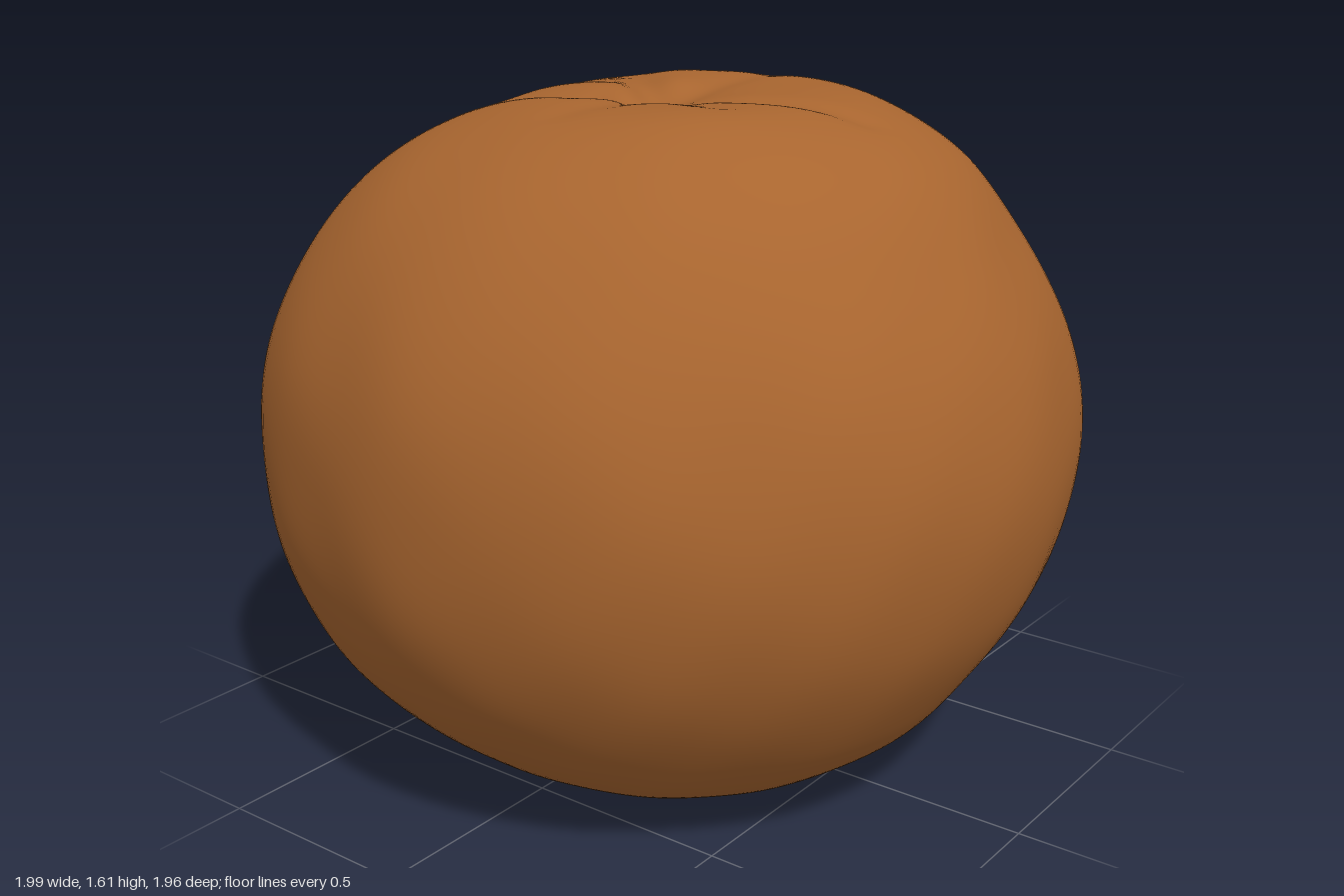
import * as THREE from 'three';

const CENTRE_Y = 0.8;

// Distance from the centre, from crown to base every 15 degrees of elevation.
// One row per 45 degrees of heading, turning from +x towards +z.
const PROFILES = [
  [0.775, 0.827, 0.904, 0.957, 0.965, 0.988, 0.995, 0.982, 0.958, 0.942, 0.9, 0.82, 0.765],
  [0.775, 0.828, 0.91, 0.953, 0.968, 0.982, 0.99, 0.982, 0.962, 0.942, 0.9, 0.82, 0.765],
  [0.775, 0.823, 0.886, 0.932, 0.96, 0.98, 0.98, 0.982, 0.966, 0.932, 0.9, 0.82, 0.765],
  [0.775, 0.825, 0.878, 0.926, 0.955, 0.975, 0.98, 0.985, 0.974, 0.952, 0.91, 0.82, 0.765],
  [0.775, 0.823, 0.872, 0.915, 0.938, 0.975, 1.0, 0.993, 0.966, 0.937, 0.9, 0.82, 0.765],
  [0.775, 0.828, 0.9, 0.938, 0.945, 0.965, 0.98, 0.97, 0.945, 0.93, 0.898, 0.82, 0.765],
  [0.775, 0.828, 0.91, 0.925, 0.92, 0.955, 0.985, 0.955, 0.918, 0.91, 0.896, 0.82, 0.765],
  [0.775, 0.83, 0.912, 0.946, 0.945, 0.965, 0.98, 0.965, 0.942, 0.93, 0.898, 0.82, 0.765],
];

// Equator radius every 15 degrees, turning from +x towards +z
const OUTLINE = [0.995, 1.0, 1.008, 0.995, 0.998, 0.985, 0.977, 0.957, 0.968, 0.982, 0.982, 0.988,
  0.998, 0.995, 0.995, 0.977, 0.975, 0.985, 0.985, 0.998, 0.985, 0.983, 0.995, 0.985];

// Creases around the crown: x1, z1, x2, z2, width, depth (negative depth is a ridge)
const CREASES = [
  [0.0, 0.07, 0.03, 0.08, 0.05, 0.025],
  [-0.03, 0.06, -0.14, 0.11, 0.035, 0.012],
  [-0.16, 0.11, -0.36, 0.12, 0.065, 0.026],
  [-0.15, 0.02, -0.36, 0.02, 0.07, -0.01],
  [-0.02, 0.02, -0.28, -0.22, 0.045, 0.018],
  [-0.08, -0.14, -0.2, -0.32, 0.06, -0.008],
  [0.0, 0.0, 0.01, -0.4, 0.055, 0.012],
  [0.06, 0.05, 0.5, -0.05, 0.04, 0.018],
  [0.1, 0.1, 0.26, 0.16, 0.04, 0.008],
  [0.0, 0.12, -0.02, 0.36, 0.05, 0.008],
];

// Smooth curve through four neighbouring values
function spline(a, b, c, d, t) {
  return b + 0.5 * t * (c - a + t * (2 * a - 5 * b + 4 * c - d + t * (3 * (b - c) + d - a)));
}

// Value at turn 0..1 around a closed ring of samples
function ringValue(ring, turn) {
  const n = ring.length, i = Math.floor(turn * n);
  const at = (k) => ring[(k + n) % n];
  return spline(at(i - 1), at(i), at(i + 1), at(i + 2), turn * n - i);
}

// Value at fall 0..1 from crown to base; mirrored past both poles
function profileValue(profile, fall) {
  const last = profile.length - 1, i = Math.min(last - 1, Math.floor(fall * last));
  const at = (k) => profile[k < 0 ? -k : k > last ? 2 * last - k : k];
  return spline(at(i - 1), at(i), at(i + 1), at(i + 2), fall * last - i);
}

function creaseDepth(x, z) {
  let sum = 0;
  for (const [x1, z1, x2, z2, width, depth] of CREASES) {
    const dx = x2 - x1, dz = z2 - z1;
    const t = THREE.MathUtils.clamp(((x - x1) * dx + (z - z1) * dz) / (dx * dx + dz * dz), 0, 1);
    const d2 = (x - x1 - t * dx) ** 2 + (z - z1 - t * dz) ** 2;
    sum += depth * (1 - 0.5 * t) * Math.exp(-d2 / (width * width));
  }
  return sum;
}

// Gentle unevenness of the skin
function skinBump(x, y, z) {
  return 0.002 * Math.sin(7 * x + 4 * y + 1) * Math.sin(6 * z - 5 * y)
    + 0.0015 * Math.sin(15 * x - 9 * z) * Math.sin(13 * y + 8 * z);
}

function fruitGeometry(rows, cols) {
  const positions = [], index = [];

  for (let i = 0; i <= rows; i++) {
    const ring = PROFILES.map((profile) => profileValue(profile, i / rows));
    const equator = PROFILES.map((profile) => profile[6]);
    const polar = (i / rows) * Math.PI;
    const flat = Math.sin(polar);
    const ringSize = i === 0 || i === rows ? 1 : cols;
    for (let j = 0; j < ringSize; j++) {
      const turn = j / cols, angle = turn * 2 * Math.PI;
      // Fit the equator to the outline, fading out towards the poles
      const fit = ringValue(OUTLINE, turn) / ringValue(equator, turn) - 1;
      let rho = ringValue(ring, turn) * (1 + fit * flat ** 4);
      const x = flat * Math.cos(angle), z = flat * Math.sin(angle), up = Math.cos(polar);
      rho += skinBump(x, up, z) * flat;
      let y = CENTRE_Y + rho * up;
      if (y > 1.3) y -= creaseDepth(rho * x, rho * z);
      positions.push(rho * x, Math.max(0, y), rho * z);
    }
  }

  const id = (i, j) => (i === 0 ? 0 : i === rows ? 1 + (rows - 1) * cols : 1 + (i - 1) * cols + (j % cols));
  for (let i = 0; i < rows; i++) {
    for (let j = 0; j < cols; j++) {
      const a = id(i, j), b = id(i + 1, j), c = id(i + 1, j + 1), d = id(i, j + 1);
      if (i > 0) index.push(a, d, b);
      if (i < rows - 1) index.push(b, d, c);
    }
  }

  const geometry = new THREE.BufferGeometry();
  geometry.setAttribute('position', new THREE.Float32BufferAttribute(positions, 3));
  geometry.setIndex(index);
  geometry.computeVertexNormals();
  return geometry;
}

export function createModel() {
  const group = new THREE.Group();
  group.name = 'fruit';

  const peel = new THREE.MeshStandardMaterial({ color: 0xa8652f });
  peel.name = 'orange brown peel';

  const body = new THREE.Mesh(fruitGeometry(160, 144), peel);
  body.name = 'fruitBody';
  group.add(body);
  return group;
}
